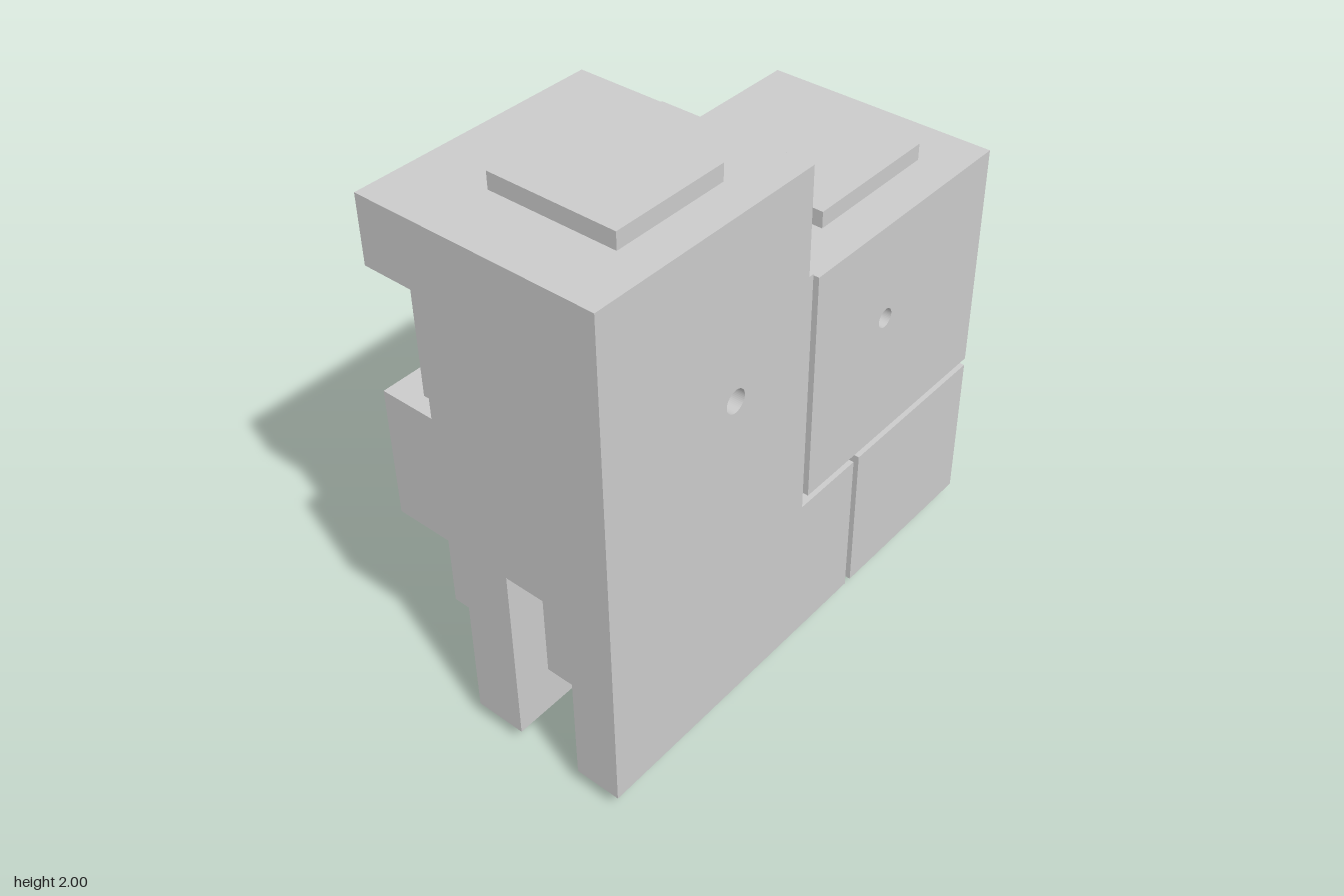
import * as THREE from 'three';

const mat = new THREE.MeshStandardMaterial({ color: 0xcccccc });

function add(parent, name, geo) {
  const m = new THREE.Mesh(geo, mat);
  m.name = name;
  parent.add(m);
  return m;
}

// Boxes are [x0, x1, y0, y1, z0, z1]
function box(parent, name, [x0, x1, y0, y1, z0, z1]) {
  const m = add(parent, name, new THREE.BoxGeometry(x1 - x0, y1 - y0, z1 - z0));
  m.position.set((x0 + x1) / 2, (y0 + y1) / 2, (z0 + z1) / 2);
  return m;
}

// Skin of the union of solid boxes minus the union of cut boxes
function carve(solids, cuts) {
  const all = [...solids, ...cuts];
  const axes = [0, 1, 2].map(a =>
    [...new Set(all.flatMap(b => [b[2 * a], b[2 * a + 1]]))].sort((p, q) => p - q));
  const filled = c => {
    if (c.some((i, a) => i < 0 || i >= axes[a].length - 1)) return false;
    const p = c.map((i, a) => (axes[a][i] + axes[a][i + 1]) / 2);
    const inside = b => p.every((v, a) => v > b[2 * a] && v < b[2 * a + 1]);
    return solids.some(inside) && !cuts.some(inside);
  };
  const pos = [];
  for (let i = 0; i < axes[0].length - 1; i++)
    for (let j = 0; j < axes[1].length - 1; j++)
      for (let k = 0; k < axes[2].length - 1; k++) {
        const c = [i, j, k];
        if (!filled(c)) continue;
        for (let a = 0; a < 3; a++)
          for (const s of [0, 1]) {
            const next = [...c];
            next[a] += s ? 1 : -1;
            if (filled(next)) continue;
            const u = (a + 1) % 3, v = (a + 2) % 3;
            const corner = (du, dv) => {
              const p = [];
              p[a] = axes[a][c[a] + s];
              p[u] = axes[u][c[u] + du];
              p[v] = axes[v][c[v] + dv];
              return p;
            };
            const q = [corner(0, 0), corner(1, 0), corner(1, 1), corner(0, 1)];
            if (!s) q.reverse();
            for (const n of [0, 1, 2, 0, 2, 3]) pos.push(...q[n]);
          }
      }
  const g = new THREE.BufferGeometry();
  g.setAttribute('position', new THREE.Float32BufferAttribute(pos, 3));
  g.computeVertexNormals();
  return g;
}

// Flat plate from an outline, with round holes [x, y, radius]
function plate(points, holes, depth) {
  const s = new THREE.Shape(points.map(p => new THREE.Vector2(...p)));
  for (const [x, y, r] of holes)
    s.holes.push(new THREE.Path().absarc(x, y, r, 0, Math.PI * 2, true));
  return new THREE.ExtrudeGeometry(s, { depth, bevelEnabled: false, curveSegments: 24 });
}

const rect = (x0, x1, y0, y1) => [[x0, y0], [x1, y0], [x1, y1], [x0, y1]];

// Tall L-shaped block
function tallBlock() {
  const g = new THREE.Group();
  g.name = 'tallBlock';
  const solids = [
    [-0.96, -0.05, 1.56, 1.94, -0.44, 0.34],
    [-0.96, -0.03, 0.06, 1.56, -0.44, 0.34],
    [-0.03, 0.26, 0.06, 0.635, -0.44, 0.34],
  ];
  const cuts = [
    [-0.14, -0.03, 1.27, 1.68, -0.44, -0.33],   // inner corner notch
    [-0.55, -0.41, 1.34, 1.62, -0.44, -0.33],   // rear window
    [-0.96, -0.74, 1.25, 1.7, -0.44, -0.33],    // outer corner notch
    [-0.96, -0.9, 1.25, 1.7, -0.44, -0.235],
    [-0.96, -0.79, 0.06, 0.767, -0.44, -0.07],  // lower corner notch
    [-0.96, -0.82, 0.06, 0.763, 0.02, 0.27],    // side slot
    [-0.82, -0.32, 0.06, 0.24, 0.02, 0.27],     // underside channel
    [-0.79, -0.32, 0.06, 0.24, -0.44, -0.17],   // underside step
    [0.08, 0.26, 0.06, 0.34, -0.44, 0.28],      // foot notch
  ];
  add(g, 'tallBody', carve(solids, cuts));
  add(g, 'tallFrontPlate', plate([[-0.96, 0.06], [0.26, 0.06], [0.26, 0.635], [-0.03, 0.635],
    [-0.03, 1.56], [-0.05, 1.56], [-0.05, 1.94], [-0.96, 1.94]], [[-0.39, 1.305, 0.042]], 0.1))
    .position.z = 0.34;
  add(g, 'drilledLeg', plate(rect(-0.96, -0.79, 0.06, 0.767),
    [[-0.87, 0.675, 0.025], [-0.87, 0.225, 0.025]], 0.1)).position.z = -0.17;
  box(g, 'tallTopPad', [-0.72, -0.28, 1.94, 2, -0.17, 0.3]);
  box(g, 'tallSidePad', [-0.05, 0.01, 1.64, 1.9, -0.17, 0.3]);
  box(g, 'bottomPad', [-0.25, 0.04, 0, 0.06, -0.44, 0.18]);
  return g;
}

// Upper block with a chamfered pocket wrapped round its rear corner
function upperBlock() {
  const g = new THREE.Group();
  g.name = 'upperBlock';
  const [y0, y1] = [0.665, 1.53];
  add(g, 'upperBody', carve([[0, 0.89, y0, y1, -0.31, 0.34]],
    [[0, 0.16, 1.06, 1.48, -0.31, 0]]));
  add(g, 'upperFrontPlate', plate(rect(0, 0.95, y0, y1), [[0.385, 1.165, 0.035]], 0.1))
    .position.z = 0.34;
  // outline of the pocket, from its open end inwards and back
  const pocket = (open, end, c) => [[open, 0.83], [end + c, 0.83], [end, 0.87],
    [end, 1.31], [end + c, 1.355], [open, 1.355]];
  add(g, 'upperBackPlate', plate([[0, y0], [0.89, y0], ...pocket(0.89, 0.37, 0.04),
    [0.89, y1], [0, y1], [0, 1.48], [0.16, 1.48], [0.16, 1.06], [0, 1.06]], [], 0.13))
    .position.z = -0.44;
  const side = add(g, 'upperSidePlate', plate([[-0.34, y0], [0.44, y0],
    ...pocket(0.44, 0.17, 0.04), [0.44, y1], [-0.34, y1]],
    [[0.25, 1.415, 0.03], [0.25, 0.77, 0.03]], 0.06));
  side.rotation.y = Math.PI / 2;
  side.position.x = 0.89;
  box(g, 'upperTopPad', [0.22, 0.75, 1.53, 1.59, -0.18, 0.29]);
  return g;
}

// Lower block with a rear corner insert and a small underside recess
function lowerBlock() {
  const g = new THREE.Group();
  g.name = 'lowerBlock';
  add(g, 'lowerBody', carve([[0.29, 0.95, 0.06, 0.635, -0.44, 0.44]], [
    [0.71, 0.95, 0.06, 0.56, -0.44, -0.26],
    [0.5, 0.62, 0.06, 0.12, -0.29, -0.21],
  ]));
  box(g, 'cornerInsert', [0.71, 0.94, 0.08, 0.55, -0.41, -0.26]);
  return g;
}

export function createModel() {
  const model = new THREE.Group();
  model.name = 'blockAssembly';
  model.add(tallBlock(), upperBlock(), lowerBlock());
  // Bridges across the gaps between blocks
  box(model, 'upperBridge', [-0.03, 0, 0.69, 0.96, -0.44, 0.18]);
  box(model, 'lowerBridge', [0.26, 0.29, 0.34, 0.6, -0.44, 0.18]);
  return model;
}
